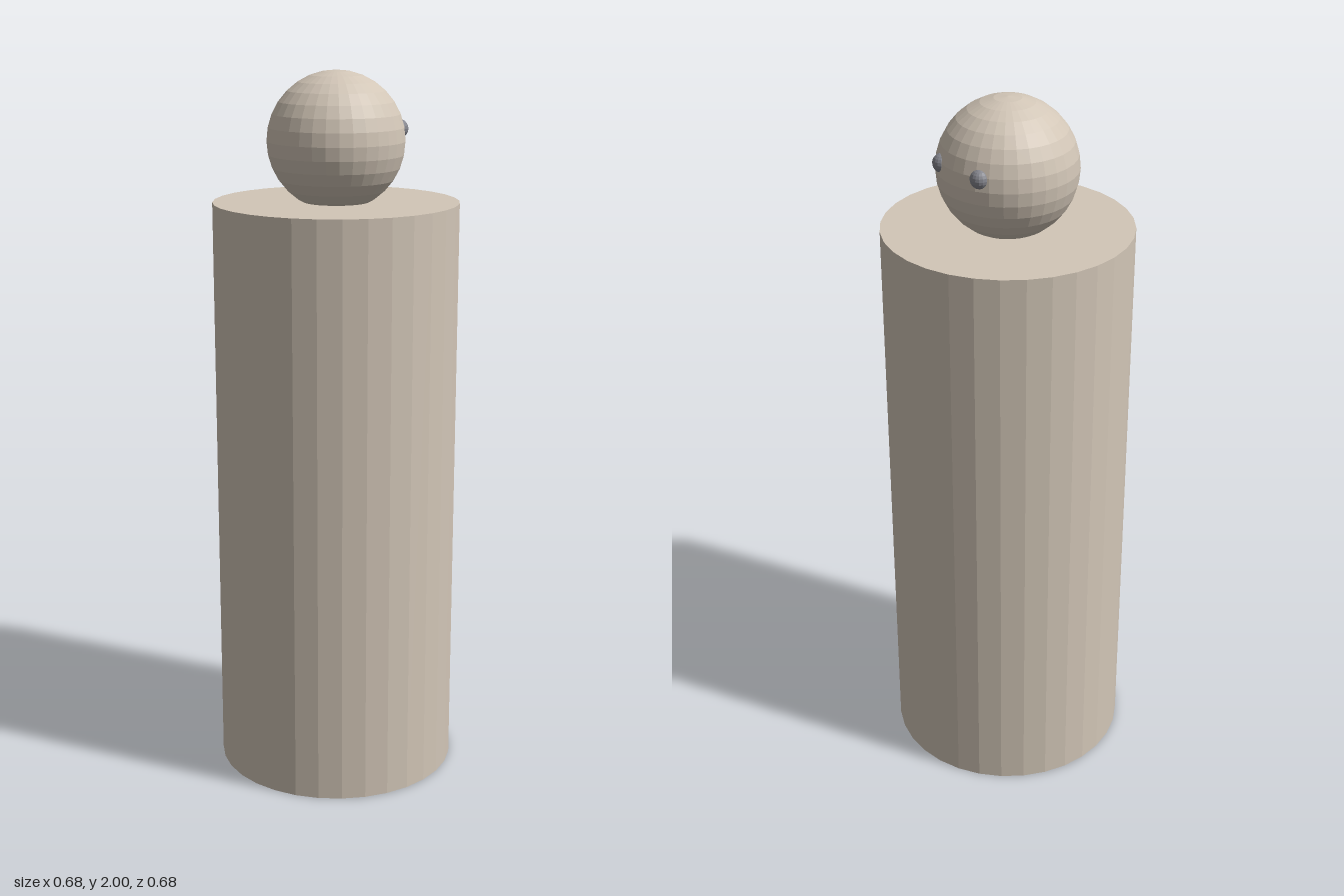
import * as THREE from 'three';

export function createModel() {
  const model = new THREE.Group();
  const skin = new THREE.MeshStandardMaterial({ color: 0xd2c6b7, flatShading: true });
  const eyeGrey = new THREE.MeshStandardMaterial({ color: 0x85868e, flatShading: true });

  const add = (name, geometry, material, x, y, z) => {
    const mesh = new THREE.Mesh(geometry, material);
    mesh.name = name;
    mesh.position.set(x, y, z);
    model.add(mesh);
    return mesh;
  };

  // Plain column body with closed ends
  const height = 1.645;
  add('body', new THREE.CylinderGeometry(0.341, 0.341, height, 32), skin, 0, height / 2, 0);

  // Ball head, sunk slightly into the top of the body
  add('head', new THREE.SphereGeometry(0.19, 32, 16), skin, 0, 1.81, 0);

  // Pair of small eyes set into the -z side of the head
  const eye = new THREE.SphereGeometry(0.026, 16, 10);
  for (const side of [1, -1]) {
    add(side > 0 ? 'leftEye' : 'rightEye', eye, eyeGrey, side * 0.074, 1.84, -0.16);
  }
  return model;
}
